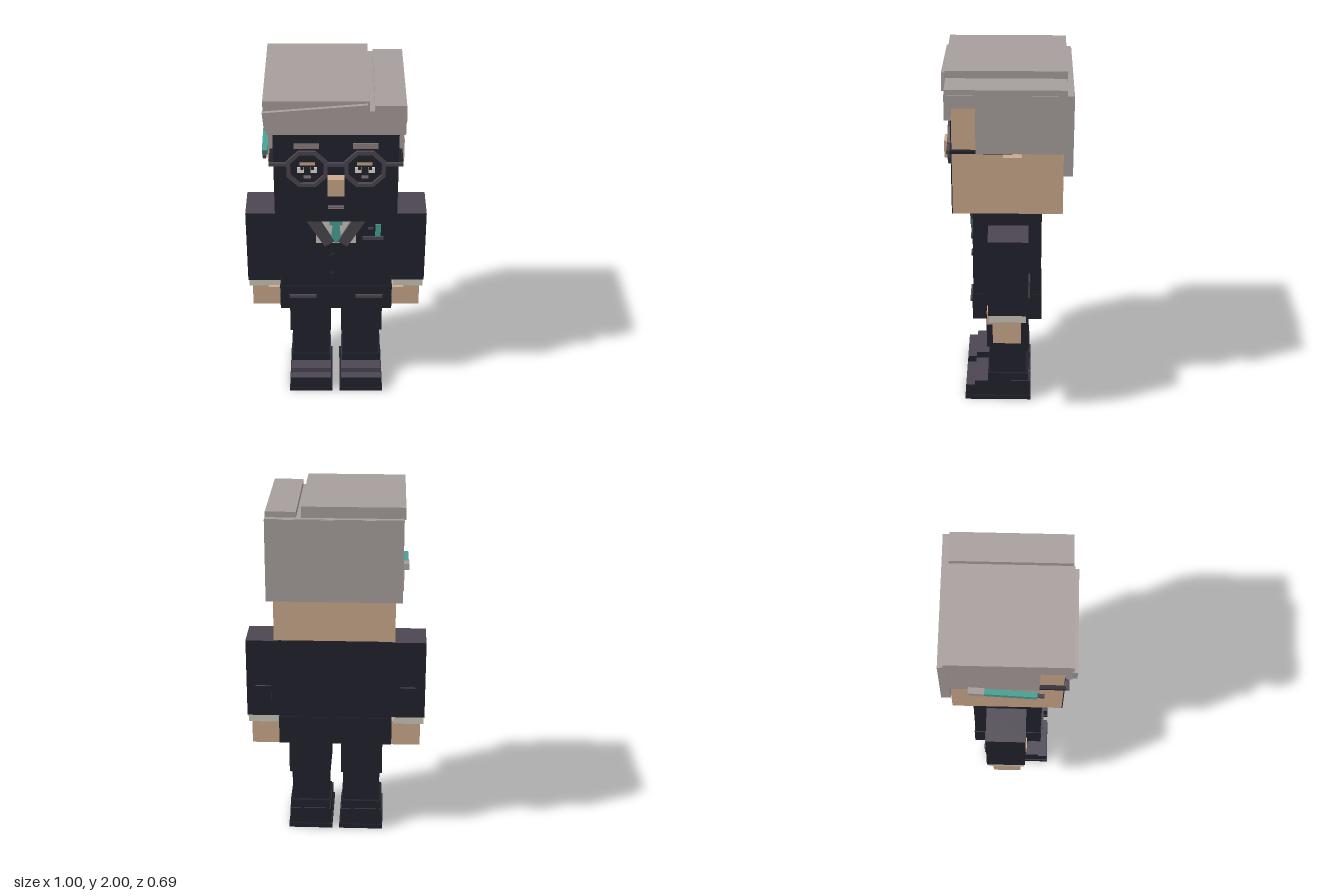
import * as THREE from 'three';

const mat = (name, color, side = THREE.FrontSide) => {
  const m = new THREE.MeshStandardMaterial({ color, side });
  m.name = name;
  return m;
};

export function createModel() {
  const suit = mat('dark suit', 0x22222d);
  const grey = mat('lapel grey', 0x4b4651);
  const hair = mat('grey hair', 0xa79e9c);
  const skin = mat('skin', 0xcca98c);
  const teal = mat('teal', 0x4aa093);
  const cream = mat('shirt cream', 0xcbc7bc);
  const white = mat('eye white', 0xe6e0d6);
  const brow = mat('brow', 0x8d7f80);
  const model = new THREE.Group();
  model.name = 'suitedMan';

  // Box given by its lower and upper limits on each axis
  const box = (name, m, x0, x1, y0, y1, z0, z1, parent = model) => {
    const mesh = new THREE.Mesh(new THREE.BoxGeometry(x1 - x0, y1 - y0, z1 - z0), m);
    mesh.position.set((x0 + x1) / 2, (y0 + y1) / 2, (z0 + z1) / 2);
    mesh.name = name;
    parent.add(mesh);
    return mesh;
  };
  // The same box on both sides of the body, x measured outwards
  const pair = (name, m, x0, x1, ...rest) => {
    box(name + 'Left', m, x0, x1, ...rest);
    box(name + 'Right', m, -x1, -x0, ...rest);
  };
  // Flat shape in the xy plane pushed out along z
  const plate = (name, m, pts, z, depth) => {
    const shape = new THREE.Shape(pts.map(([x, y]) => new THREE.Vector2(x, y)));
    const mesh = new THREE.Mesh(new THREE.ExtrudeGeometry(shape, { depth, bevelEnabled: false }), m);
    mesh.position.z = z;
    mesh.name = name;
    model.add(mesh);
    return mesh;
  };
  const greyTop = [suit, suit, grey, suit, suit, suit];
  const greyTopFront = [suit, suit, grey, suit, grey, suit];

  // Legs and stepped shoes
  pair('thigh', suit, 0.03, 0.265, 0.36, 0.6, -0.122, 0.115);
  pair('shin', suit, 0.04, 0.25, 0.17, 0.36, -0.105, 0.1);
  pair('shoeAnkle', suit, 0.033, 0.262, 0.12, 0.175, -0.125, 0.11);
  pair('shoeUpper', greyTopFront, 0.03, 0.265, 0.095, 0.125, -0.13, 0.185);
  pair('shoeToe', greyTop, 0.03, 0.265, 0.025, 0.096, -0.13, 0.237);
  pair('sole', suit, 0.02, 0.272, 0, 0.025, -0.137, 0.242);

  // Jacket
  box('jacketBody', suit, -0.31, 0.31, 0.74, 1.245, -0.187, 0.185);
  box('jacketHem', suit, -0.315, 0.315, 0.58, 0.742, -0.192, 0.19);
  pair('hipPocket', grey, 0.11, 0.262, 0.663, 0.683, 0.188, 0.204);
  for (const y of [0.95, 0.82]) {
    const button = new THREE.Mesh(new THREE.CylinderGeometry(0.02, 0.02, 0.022, 8), suit);
    button.rotation.x = Math.PI / 2;
    button.position.set(-0.015, y, 0.195);
    button.name = 'button';
    model.add(button);
  }

  // Shirt, collar opening, tie and lapels
  box('shirt', cream, -0.11, 0.11, 1.035, 1.247, 0.184, 0.188);
  plate('throat', skin, [[-0.025, 1.247], [0, 1.215], [0.025, 1.247]], 0.188, 0.003);
  plate('tie', teal, [[-0.018, 1.17], [-0.028, 1.065], [0, 1.035], [0.028, 1.065], [0.018, 1.17]], 0.188, 0.006);
  box('tieKnot', teal, -0.035, 0.035, 1.16, 1.22, 0.186, 0.2);
  for (const s of [1, -1]) {
    const pts = [[0.115, 1.243], [0.012, 1.055], [0.062, 1.022], [0.172, 1.21]].map(([x, y]) => [x * s, y]);
    plate('lapel', grey, pts, 0.186, 0.019);
  }
  box('breastPocket', grey, 0.145, 0.26, 1.06, 1.08, 0.184, 0.196);
  box('handkerchief', teal, 0.215, 0.245, 1.08, 1.16, 0.184, 0.192);
  box('lapelPin', grey, 0.175, 0.205, 1.125, 1.14, 0.184, 0.19);

  // Arms, cuffs and hands
  pair('sleeve', greyTop, 0.308, 0.5, 0.715, 1.17, -0.117, 0.1);
  pair('elbowPatch', grey, 0.36, 0.45, 0.8, 0.9, -0.126, -0.116);
  for (const s of [1, -1]) box('elbowPatchFace', suit, s * 0.405 - 0.045, s * 0.405 + 0.045, 0.8, 0.899, -0.128, -0.126);
  pair('cuff', cream, 0.325, 0.495, 0.67, 0.716, -0.107, 0.095);
  pair('hand', skin, 0.313, 0.478, 0.525, 0.672, -0.08, 0.075);
  pair('thumb', skin, 0.322, 0.385, 0.588, 0.672, 0.07, 0.11);

  // Head with dark face plate, ears and nose
  box('head', skin, -0.326, 0.326, 1.25, 1.88, -0.298, 0.288);
  box('face', suit, -0.326, 0.326, 1.25, 1.81, 0.288, 0.293);
  pair('ear', skin, 0.32, 0.37, 1.46, 1.6, -0.08, 0.02);
  box('nose', skin, -0.045, 0.045, 1.445, 1.545, 0.285, 0.345);

  // Painted eyes, brows and mouth
  pair('eyeOuter', white, 0.168, 0.203, 1.558, 1.592, 0.29, 0.296);
  pair('eyeInner', white, 0.098, 0.133, 1.558, 1.592, 0.29, 0.296);
  pair('pupilOuter', suit, 0.172, 0.186, 1.577, 1.593, 0.294, 0.297);
  pair('pupilInner', suit, 0.115, 0.129, 1.577, 1.593, 0.294, 0.297);
  pair('eyelid', skin, 0.11, 0.19, 1.605, 1.62, 0.29, 0.296);
  pair('underEye', brow, 0.132, 0.17, 1.525, 1.541, 0.29, 0.296);
  pair('brow', brow, 0.088, 0.218, 1.705, 1.737, 0.29, 0.298);
  for (const y of [1.335, 1.349]) box('mouthLine', brow, -0.043, 0.043, y - 0.004, y + 0.004, 0.29, 0.296);

  // Octagonal glasses
  for (const s of [1, -1]) {
    const ring = (r) => Array.from({ length: 8 }, (_, i) => {
      const a = (i + 0.5) * Math.PI / 4;
      return new THREE.Vector2(Math.cos(a) * r, Math.sin(a) * r);
    });
    const shape = new THREE.Shape(ring(0.116));
    shape.holes.push(new THREE.Path(ring(0.094)));
    const rim = new THREE.Mesh(new THREE.ExtrudeGeometry(shape, { depth: 0.015, bevelEnabled: false }), grey);
    rim.position.set(s * 0.151, 1.59, 0.299);
    rim.name = 'glassesRim';
    model.add(rim);
  }
  box('glassesBridge', grey, -0.045, 0.045, 1.607, 1.627, 0.299, 0.314);
  pair('glassesHinge', grey, 0.255, 0.35, 1.61, 1.627, 0.297, 0.314);
  pair('glassesTemple', suit, 0.328, 0.35, 1.61, 1.625, -0.03, 0.3);

  // Hair: cap, side and back panels, fringe and two top slabs
  box('hairCap', hair, -0.36, 0.36, 1.87, 1.94, -0.343, 0.32);
  box('hairFront', hair, -0.357, 0.357, 1.803, 1.94, 0.288, 0.322);
  pair('hairSide', hair, 0.32, 0.357, 1.615, 1.94, -0.342, 0.162);
  box('hairBack', hair, -0.362, 0.36, 1.49, 1.938, -0.346, -0.296);
  box('hairTopRight', hair, -0.37, 0.17, 1.935, 2, -0.315, 0.325);
  box('hairTopLeft', hair, 0.197, 0.358, 1.935, 1.97, -0.31, 0.32);
  box('fringe', hair, -0.37, 0.165, 1.863, 1.965, 0.315, 0.344).rotation.z = 0.085;

  // Pencil tucked behind the right ear
  const pencil = new THREE.Group();
  pencil.name = 'pencil';
  pencil.position.set(-0.377, 1.615, 0);
  pencil.rotation.x = 0.13;
  box('pencilBody', teal, -0.015, 0.015, -0.015, 0.015, -0.122, 0.152, pencil);
  box('pencilEnd', hair, -0.017, 0.017, -0.017, 0.017, -0.205, -0.122, pencil);
  box('pencilTip', grey, -0.009, 0.009, -0.009, 0.009, 0.152, 0.19, pencil);
  model.add(pencil);

  return model;
}
